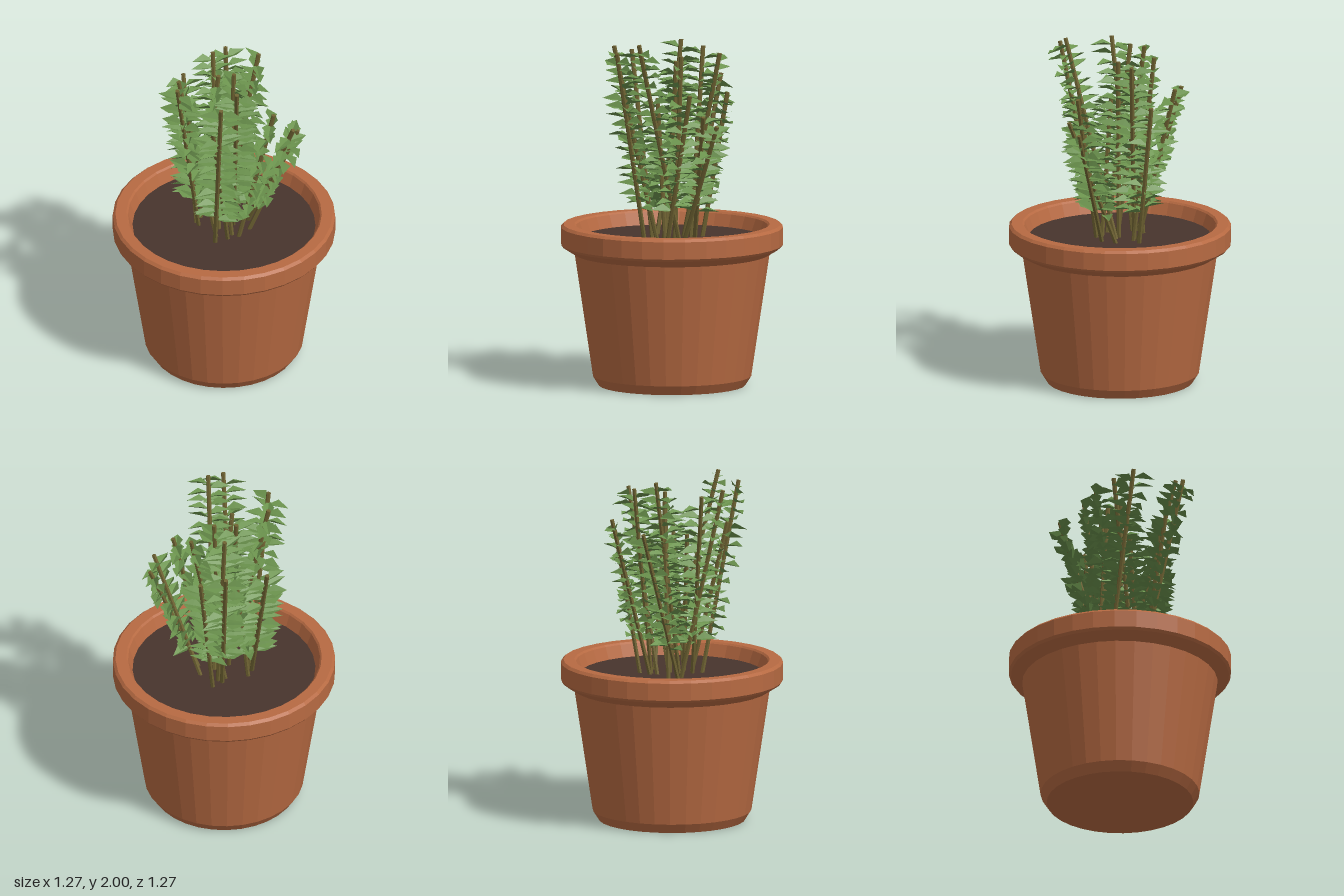
import * as THREE from 'three';
import { mergeGeometries } from 'three/addons/utils/BufferGeometryUtils.js';

const SOIL_Y = 0.85;
const SIDES = 32;

// tip x, y, z and base x, z of each stem
const STEMS = [
  [-0.18, 1.72, -0.31, -0.15, -0.05],
  [0.075, 1.77, -0.36, 0.04, -0.12],
  [0.05, 1.94, -0.225, 0.06, -0.1],
  [0.2, 1.68, -0.26, 0.1, -0.15],
  [0.23, 1.92, -0.15, 0.01, -0.09],
  [-0.04, 1.98, -0.135, -0.035, 0.03],
  [-0.02, 1.86, -0.065, -0.12, -0.1],
  [-0.27, 1.92, 0.03, -0.06, 0.1],
  [0.06, 1.9, -0.01, 0.02, 0.0],
  [-0.05, 1.66, 0.07, 0.03, 0.1],
  [-0.3, 1.95, 0.155, -0.14, -0.03],
  [0.26, 1.71, 0.165, 0.06, 0.12],
  [0.41, 1.54, 0.105, 0.13, 0.06],
  [0.37, 1.6, 0.18, 0.14, -0.03],
  [0.015, 2.0, 0.325, 0.055, 0.0],
  [-0.09, 1.95, 0.395, -0.08, 0.15],
  [-0.12, 1.72, 0.3, 0.0, 0.13],
];

// Seeded noise between -1 and 1
let seed = 7;
function jitter() {
  seed = (seed * 16807) % 2147483647;
  return (seed / 2147483647) * 2 - 1;
}

function flat(geometry) {
  const g = geometry.index ? geometry.toNonIndexed() : geometry;
  g.computeVertexNormals();
  return g;
}

// Pointed leaf along +x, facing +y, folded up along its midrib
function leafGeometry() {
  const g = new THREE.BufferGeometry();
  g.setAttribute('position', new THREE.Float32BufferAttribute([
    0, 0, 0, 0.06, 0.002, 0, 0.13, 0.002, 0, 0.055, 0.024, 0.037, 0.055, 0.024, -0.037,
  ], 3));
  g.setIndex([0, 3, 1, 3, 2, 1, 0, 1, 4, 1, 2, 4]);
  return flat(g);
}

function createStem([tx, ty, tz, bx, bz], leaf, stemMat, leafMat) {
  const group = new THREE.Group();
  group.name = 'stem';
  const base = new THREE.Vector3(bx, SOIL_Y - 0.02, bz);
  const axis = new THREE.Vector3(tx, ty, tz).sub(base);
  const length = axis.length();
  axis.normalize();

  const stalk = new THREE.Mesh(
    flat(new THREE.CylinderGeometry(0.013, 0.013, length, 6)), stemMat);
  stalk.name = 'stalk';
  stalk.position.copy(base).addScaledVector(axis, length / 2);
  stalk.quaternion.setFromUnitVectors(new THREE.Vector3(0, 1, 0), axis);
  group.add(stalk);

  // Leaves alternate on the two sides across the lean, rising and turning a little
  const side = new THREE.Vector3(0, 1, 0).cross(axis).normalize();
  const leaves = [];
  let sign = 1;
  for (let d = length - 0.05; d > 0.2; d -= 0.026) {
    const x = side.clone().multiplyScalar(sign);
    const z = x.clone().cross(axis);
    const m = new THREE.Matrix4().makeBasis(x, axis, z);
    m.setPosition(base.clone().addScaledVector(axis, d));
    const turn = new THREE.Euler(0.4 * jitter(), 0.4 * jitter(), 0.08 + 0.12 * jitter(), 'YZX');
    m.multiply(new THREE.Matrix4().makeRotationFromEuler(turn));
    leaves.push(leaf.clone().applyMatrix4(m));
    sign = -sign;
  }
  const foliage = new THREE.Mesh(mergeGeometries(leaves), leafMat);
  foliage.name = 'leaves';
  group.add(foliage);
  return group;
}

export function createModel() {
  const terracotta = new THREE.MeshStandardMaterial({ color: 0xb76a42 });
  terracotta.name = 'terracotta';
  const earth = new THREE.MeshStandardMaterial({ color: 0x48342d });
  earth.name = 'soil brown';
  const bark = new THREE.MeshStandardMaterial({ color: 0x6e6232 });
  bark.name = 'stem olive';
  const green = new THREE.MeshStandardMaterial({ color: 0x6c944e, side: THREE.DoubleSide });
  green.name = 'leaf green';

  const model = new THREE.Group();
  model.name = 'pottedPlant';
  seed = 7;

  // Pot: tapered body, thick rim, inner wall
  const profile = [
    [0, 0], [0.42, 0], [0.455, 0.055], [0.56, 0.76], [0.625, 0.8], [0.637, 0.815],
    [0.637, 0.915], [0.622, 0.93], [0.56, 0.93], [0.55, 0.92], [0.52, SOIL_Y - 0.01],
  ].map(([r, y]) => new THREE.Vector2(r, y));
  const pot = new THREE.Mesh(flat(new THREE.LatheGeometry(profile, SIDES)), terracotta);
  pot.name = 'pot';
  model.add(pot);

  const soil = new THREE.Mesh(new THREE.CircleGeometry(0.524, SIDES), earth);
  soil.name = 'soil';
  soil.rotation.x = -Math.PI / 2;
  soil.position.y = SOIL_Y;
  model.add(soil);

  // Plant
  const plant = new THREE.Group();
  plant.name = 'plant';
  const leaf = leafGeometry();
  for (const s of STEMS) plant.add(createStem(s, leaf, bark, green));
  model.add(plant);
  return model;
}
